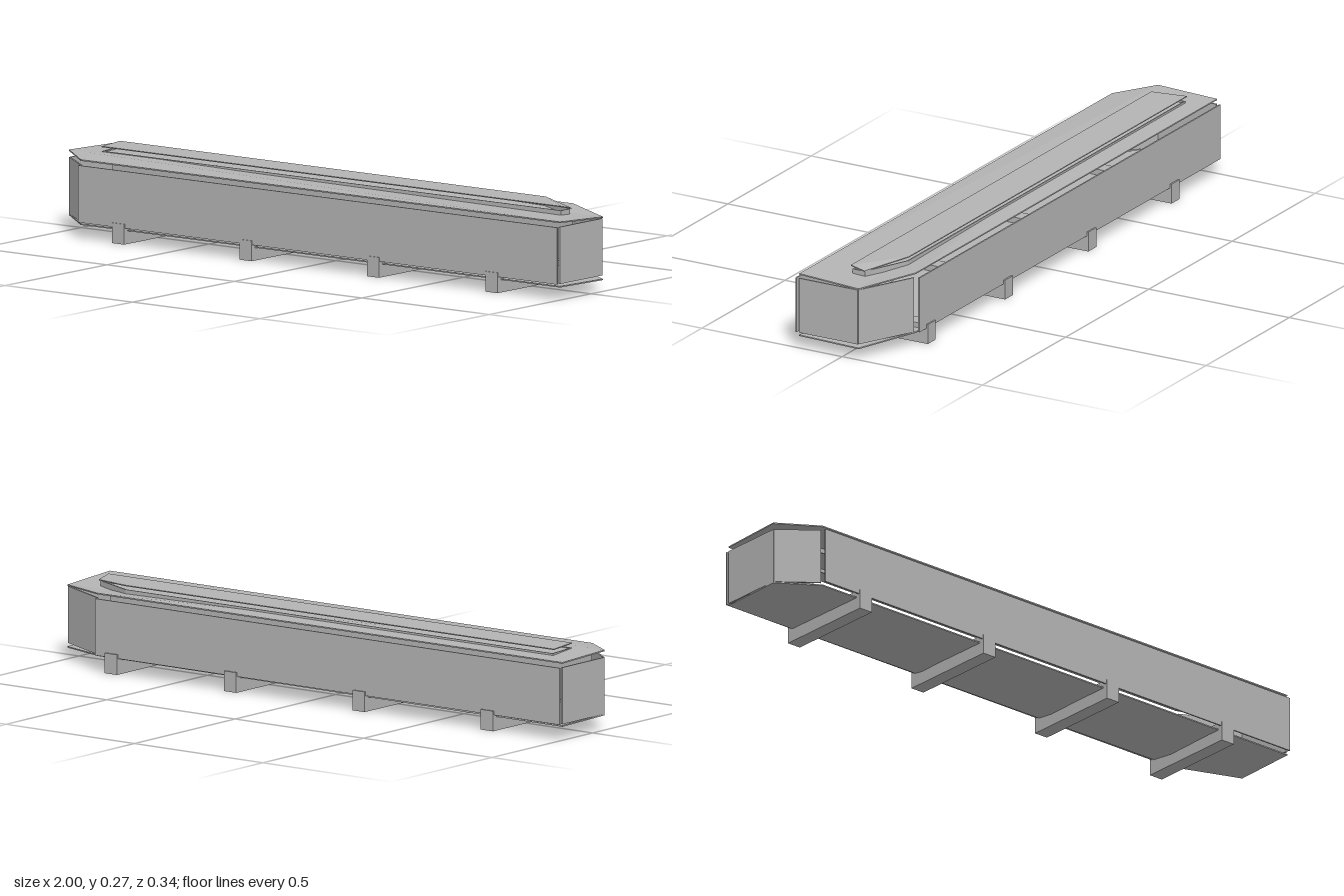
import * as THREE from 'three';

const grey = new THREE.MeshStandardMaterial({ color: 0xb4b4b4 });
grey.name = 'grey';

// Thin flat-shaded plate: a fan over its corners, thickened along an inward offset.
function plate(name, corners, offset) {
  const pos = [];
  const n = corners.length;
  const inner = corners.map((p) => p.map((v, i) => v + offset[i]));
  const tri = (a, b, c) => pos.push(...a, ...b, ...c);
  for (let i = 1; i < n - 1; i++) {
    tri(corners[0], corners[i], corners[i + 1]);
    tri(inner[0], inner[i + 1], inner[i]);
  }
  for (let i = 0; i < n; i++) {
    const j = (i + 1) % n;
    tri(corners[i], inner[i], inner[j]);
    tri(corners[i], inner[j], corners[j]);
  }
  const geo = new THREE.BufferGeometry();
  geo.setAttribute('position', new THREE.Float32BufferAttribute(pos, 3));
  geo.computeVertexNormals();
  const mesh = new THREE.Mesh(geo, grey);
  mesh.name = name;
  return mesh;
}

// Upright panel from a to b (x, z); its outer face is on the right of that direction.
function wall(name, a, b, y0, y1, t) {
  const dx = b[0] - a[0], dz = b[1] - a[1], len = Math.hypot(dx, dz);
  return plate(name, [
    [a[0], y0, a[1]], [b[0], y0, b[1]], [b[0], y1, b[1]], [a[0], y1, a[1]],
  ], [(dz / len) * t, 0, (-dx / len) * t]);
}

export function createModel() {
  const model = new THREE.Group();
  model.name = 'longCrate';

  // Side, end and chamfer panels, separated by small gaps
  const panels = [
    ['frontPanel', [-0.88, 0.167], [1, 0.167]],
    ['rightEndPanel', [1, 0.153], [1, -0.055]],
    ['backChamferPanel', [0.998, -0.057], [0.815, -0.147]],
    ['backPanel', [0.81, -0.163], [-1, -0.163]],
    ['leftEndPanel', [-1, -0.15], [-1, 0.06]],
    ['frontChamferPanel', [-0.998, 0.062], [-0.885, 0.15]],
  ];
  for (const [name, a, b] of panels) model.add(wall(name, a, b, 0.05, 0.227, 0.005));

  // Slightly warped lid
  model.add(plate('lid', [
    [-1, 0.25, 0.06], [-0.88, 0.243, 0.153], [1, 0.243, 0.153],
    [1, 0.232, -0.058], [0.81, 0.242, -0.15], [-1, 0.243, -0.15],
  ], [0, -0.004, 0]));

  // Slightly warped floor, facing down
  model.add(plate('floor', [
    [-1, 0.042, -0.15], [0.81, 0.046, -0.15], [1, 0.035, -0.058],
    [1, 0.039, 0.153], [-0.88, 0.04, 0.153], [-1, 0.046, 0.06],
  ], [0, 0.004, 0]));

  // Riser walls standing on the lid
  const riser = [[-0.9, 0.023], [0.9, 0.023], [0.9, -0.022], [0.75, -0.088], [-0.915, -0.088]];
  riser.forEach((a, i) => {
    model.add(wall('riserWall', a, riser[(i + 1) % riser.length], 0.23, 0.251, 0.004));
  });

  // Cap plate above the riser, with one corner bent down
  model.add(plate('capPlate', [
    [0.905, 0.265, 0.025], [0.905, 0.254, -0.023], [0.75, 0.265, -0.09],
    [-0.92, 0.266, -0.09], [-0.9, 0.266, 0.025],
  ], [0, -0.003, 0]));

  // Cross beams under the floor
  for (const x of [-0.72, -0.22, 0.28, 0.745]) {
    const beam = new THREE.Mesh(new THREE.BoxGeometry(0.048, 0.063, 0.338), grey);
    beam.position.set(x, 0.0315, 0.001);
    beam.name = 'crossBeam';
    model.add(beam);
  }
  return model;
}
